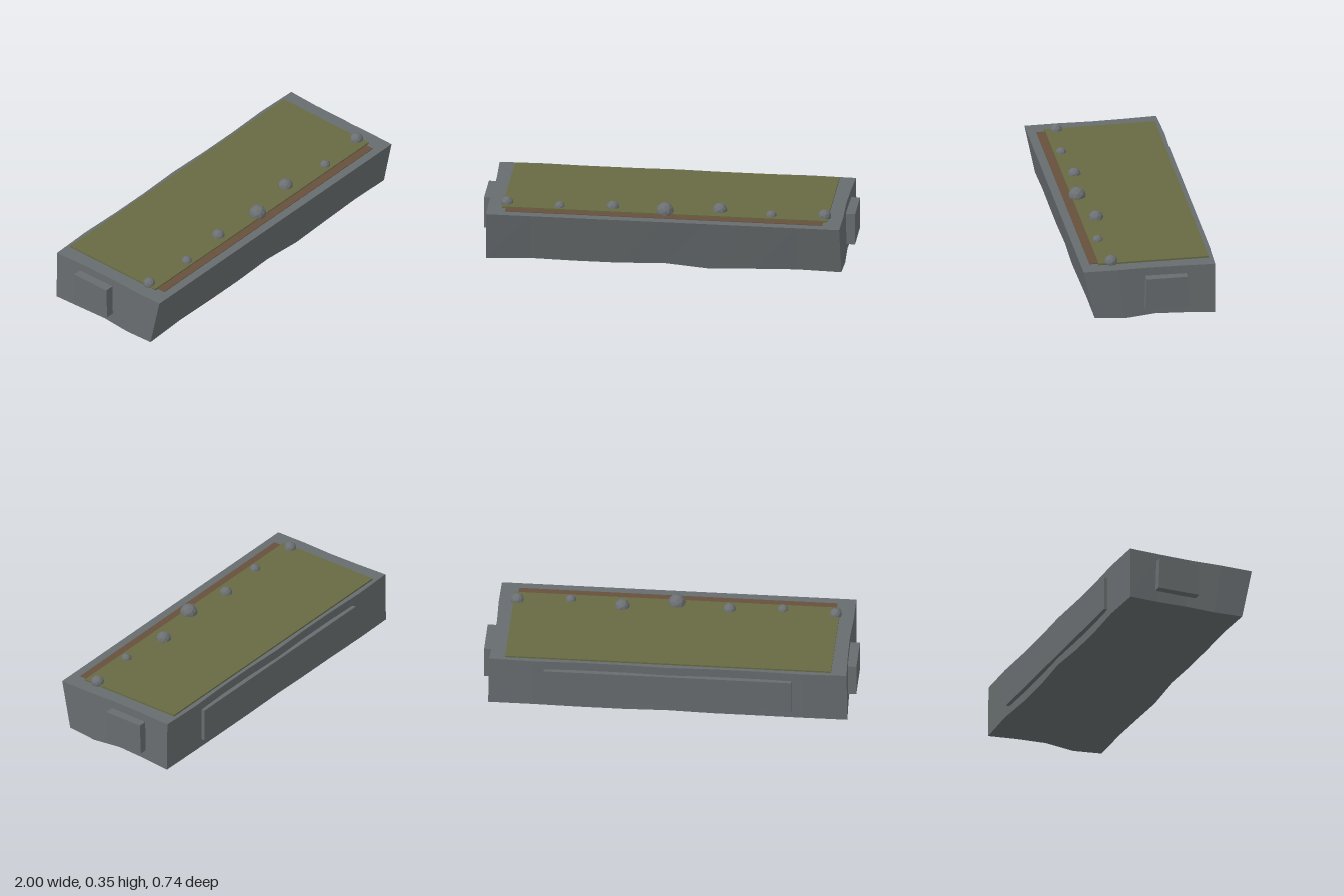
import * as THREE from 'three';

const makeMaterial = (name, color) => {
  const m = new THREE.MeshStandardMaterial({ color, flatShading: true });
  m.name = name;
  return m;
};

export function createModel() {
  const stone = makeMaterial('grey stone', 0x676c6e);
  const grass = makeMaterial('moss green', 0x666a42);
  const soil = makeMaterial('brown soil', 0x67503c);
  const rock = makeMaterial('rock grey', 0x6c7072);
  const model = new THREE.Group();
  model.name = 'stoneLedge';

  const add = (name, geometry, material, x = 0, y = 0, z = 0) => {
    const mesh = new THREE.Mesh(geometry, material);
    mesh.name = name;
    mesh.position.set(x, y, z);
    model.add(mesh);
    return mesh;
  };
  // Box given by its limits on each axis
  const slab = (name, material, x0, x1, y0, y1, z0, z1) =>
    add(name, new THREE.BoxGeometry(x1 - x0, y1 - y0, z1 - z0), material,
      (x0 + x1) / 2, (y0 + y1) / 2, (z0 + z1) / 2);

  // Main block: front leans out toward the top, underside is uneven
  const body = new THREE.BoxGeometry(2, 1, 1, 8, 1, 4);
  const dipX = [0.006, 0.018, 0.014, 0.014, 0.024, 0.004, 0.014, 0.022, 0.017];
  const dipZ = [-0.014, -0.005, 0, -0.014, 0];
  const p = body.attributes.position;
  for (let i = 0; i < p.count; i++) {
    const col = Math.round((p.getX(i) + 1) * 4);
    const row = Math.round((p.getZ(i) + 0.5) * 4);
    const top = p.getY(i) > 0;
    const halfWidth = (top ? 0.952 : 0.957) + [0.008, 0, -0.004, 0.002, 0][row];
    const front = top ? 0.37 : 0.312;
    const back = row === 0 && col % 3 === 1 ? -0.352 : -0.345;
    p.setXYZ(i, p.getX(i) * halfWidth,
      top ? 0.286 : Math.max(0, dipX[col] + dipZ[row]),
      THREE.MathUtils.lerp(back, front, row / 4));
  }
  body.computeVertexNormals();
  add('body', body, stone);

  // Top covering and the soil strip along its front edge
  slab('grassTop', grass, -0.875, 0.875, 0.28, 0.295, -0.325, 0.275);
  slab('soilStrip', soil, -0.855, 0.855, 0.28, 0.289, 0.275, 0.322);

  // Raised panel on the back
  slab('backPanel', stone, -0.665, 0.665, 0.05, 0.237, -0.37, -0.34);

  // Slightly tapered block on each end
  for (const side of [-1, 1]) {
    const block = new THREE.BoxGeometry(0.06, 0.174, 0.235);
    const q = block.attributes.position;
    for (let i = 0; i < q.count; i++) q.setZ(i, q.getZ(i) * (q.getY(i) > 0 ? 0.965 : 1.02));
    block.computeVertexNormals();
    add(side > 0 ? 'leftEndBlock' : 'rightEndBlock', block, stone, side * 0.97, 0.153, -0.077);
  }

  // Row of faceted rocks: x, y, z, radius
  const rocks = [
    [-0.855, 0.295, 0.215, 0.033], [-0.57, 0.293, 0.235, 0.029],
    [-0.285, 0.294, 0.212, 0.035], [0, 0.3, 0.245, 0.047],
    [0.29, 0.296, 0.192, 0.04], [0.57, 0.293, 0.23, 0.029],
    [0.855, 0.296, 0.206, 0.036],
  ];
  rocks.forEach(([x, y, z, r], i) => {
    add('rock' + (i + 1), new THREE.IcosahedronGeometry(r, 1), rock, x, y, z).rotation.y = i * 0.9;
  });

  return model;
}
